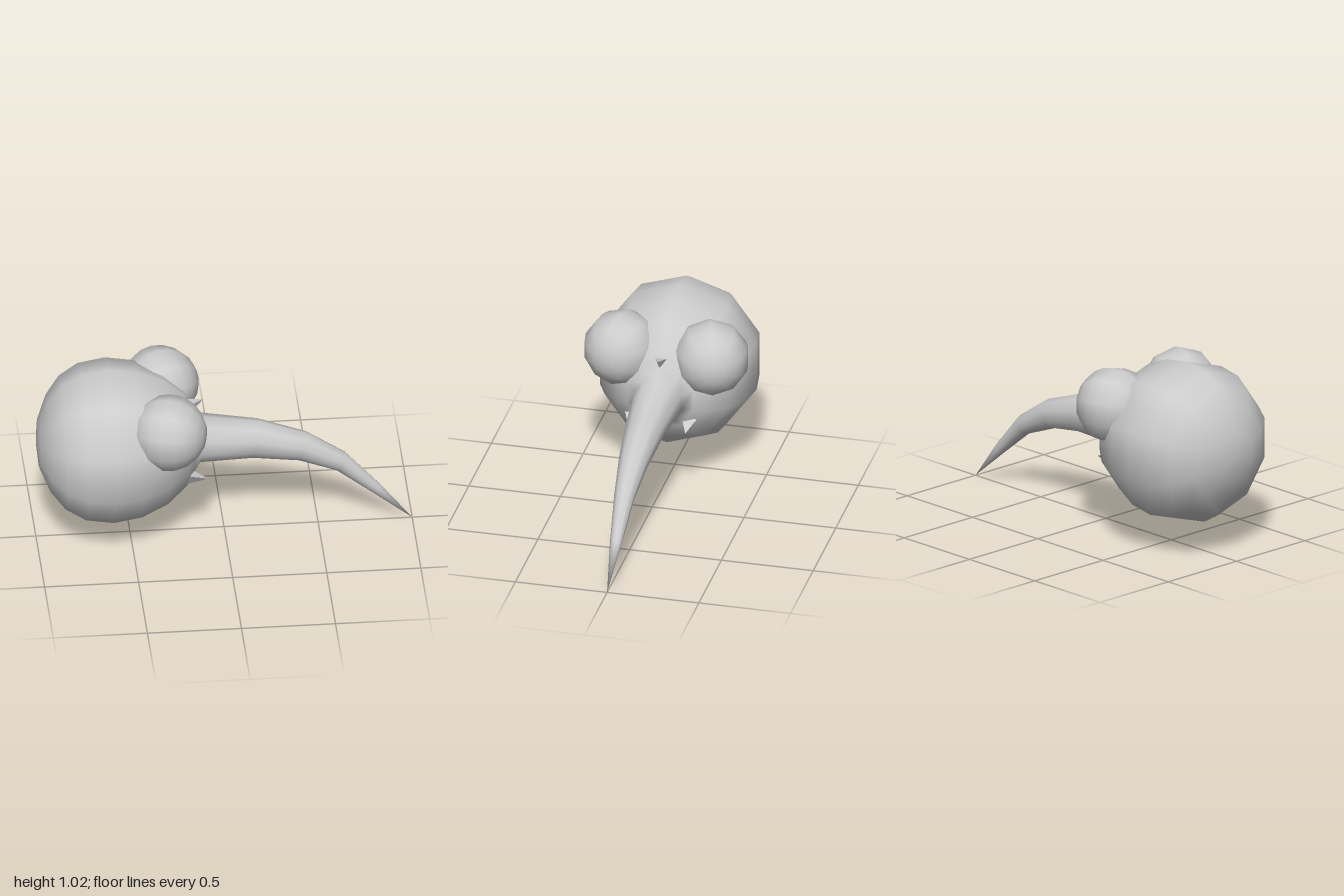
import * as THREE from 'three';
import { mergeVertices } from 'three/addons/utils/BufferGeometryUtils.js';

const SIDES = 10;
const material = new THREE.MeshStandardMaterial({ color: 0xcccccc });

// Skins ten-sided rings given as [x, y, radius, tilt, width factor] along +x
function loft(rings) {
  const pos = [], index = [];
  rings.forEach(([x, y, r, tilt = 0, w = 1], i) => {
    for (let j = 0; j < SIDES; j++) {
      const a = (j / SIDES) * Math.PI * 2;
      const up = Math.cos(a) * r;
      pos.push(x + up * Math.sin(tilt), y + up * Math.cos(tilt), Math.sin(a) * r * w);
      if (i === rings.length - 1) continue;
      const k = (j + 1) % SIDES;
      const p = i * SIDES + j, q = i * SIDES + k;
      index.push(p, q, p + SIDES, q, q + SIDES, p + SIDES);
    }
  });
  let geo = new THREE.BufferGeometry();
  geo.setAttribute('position', new THREE.Float32BufferAttribute(pos, 3));
  geo.setIndex(index);
  geo = mergeVertices(geo, 1e-5);
  geo.computeVertexNormals();
  return geo;
}

export function createModel() {
  const group = new THREE.Group();
  const add = (name, geo, x = 0, y = 0, z = 0) => {
    const mesh = new THREE.Mesh(geo, material);
    mesh.name = name;
    mesh.position.set(x, y, z);
    group.add(mesh);
    return mesh;
  };

  // Round head flowing into a long, drooping beak
  add('headAndBeak', loft([
    [-1.0, 0.58, 0],
    [-0.985, 0.58, 0.136],
    [-0.935, 0.58, 0.259],
    [-0.86, 0.58, 0.356],
    [-0.755, 0.58, 0.418],
    [-0.61, 0.58, 0.44],
    [-0.46, 0.58, 0.418],
    [-0.32, 0.58, 0.356],
    [-0.21, 0.58, 0.262],
    [-0.17, 0.575, 0.19],
    [-0.13, 0.57, 0.132, 0.05],
    [0.165, 0.548, 0.106, 0.2],
    [0.415, 0.485, 0.08, 0.33],
    [0.62, 0.377, 0.055, 0.58],
    [0.81, 0.195, 0.031, 0.74],
    [1.0, 0.0, 0],
  ]));

  // Bulging eyes
  for (const [name, side] of [['leftEye', -1], ['rightEye', 1]]) {
    const eye = new THREE.SphereGeometry(0.205, 10, 10);
    eye.rotateZ(-Math.PI / 2);
    eye.rotateY(-side * 0.3);
    add(name, eye, -0.317, 0.765, side * 0.243);
  }

  // Small three-sided spikes on the face
  const spike = new THREE.ConeGeometry(0.047, 0.1, 3, 1, false, Math.PI / 2).toNonIndexed();
  spike.rotateZ(-Math.PI / 2);
  spike.computeVertexNormals();
  add('browSpike', spike, -0.155, 0.788, 0).rotation.z = 0.45;
  for (const side of [-1, 1]) {
    add(side < 0 ? 'leftCheekSpike' : 'rightCheekSpike', spike, -0.148, 0.417, side * 0.155).rotation.z = -0.2;
  }

  return group;
}
